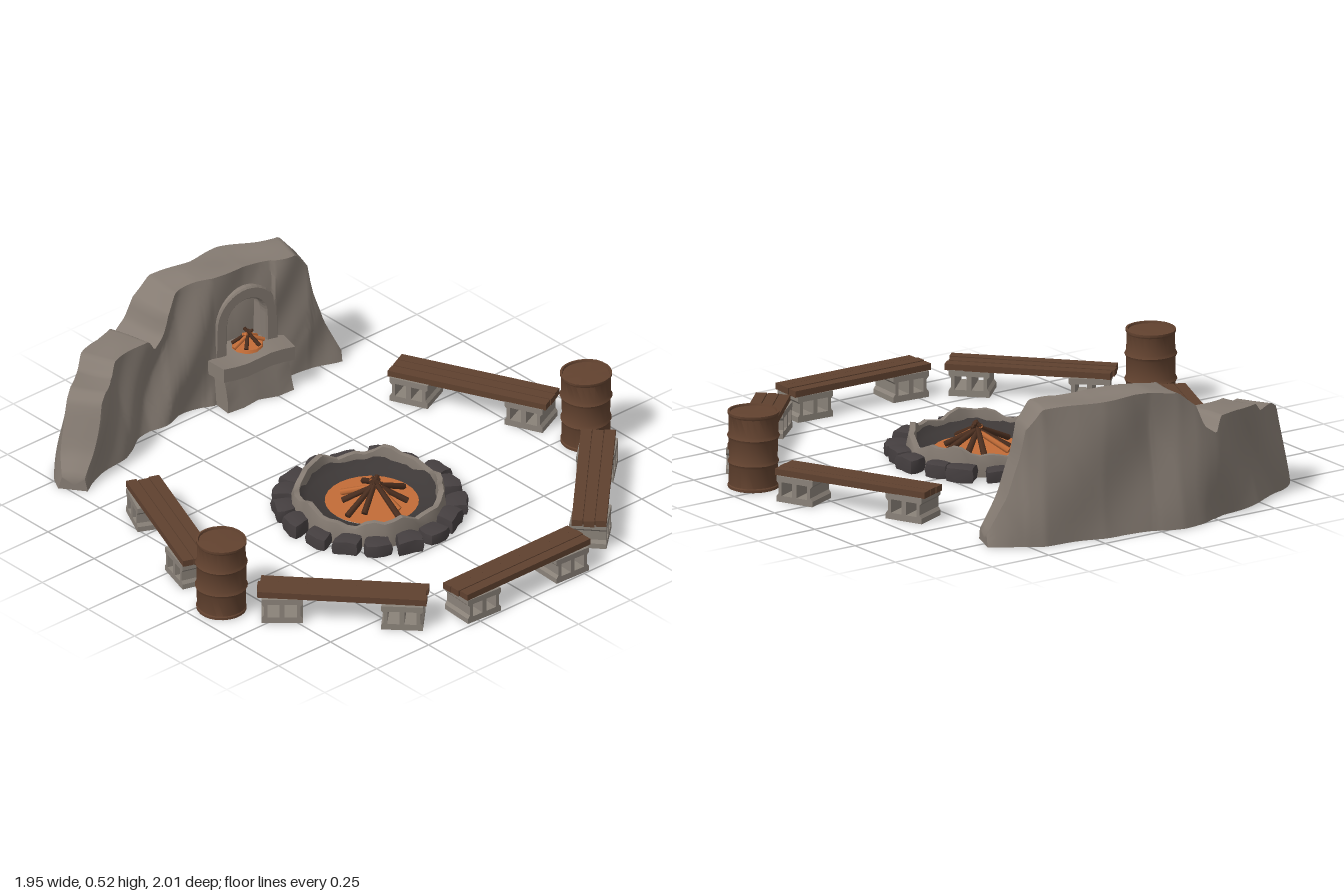
import * as THREE from 'three';
import { toCreasedNormals } from 'three/addons/utils/BufferGeometryUtils.js';

const mat = (name, color, side = THREE.FrontSide) => {
  const m = new THREE.MeshStandardMaterial({ color, side });
  m.name = name;
  return m;
};
const M = {
  rock: mat('rock grey', 0x857b72),
  block: mat('concrete grey', 0x8a8279),
  plank: mat('plank brown', 0x5f412f),
  plankDark: mat('dark plank brown', 0x4d3425),
  rust: mat('rust brown', 0x62422f),
  stone: mat('dark stone', 0x453f40),
  char: mat('char', 0x3d3837, THREE.DoubleSide),
  ember: mat('ember orange', 0xc26c37, THREE.DoubleSide),
  log: mat('burnt log', 0x4a2e1f),
};

let seed = 7;
const rnd = () => ((seed = (seed * 16807) % 2147483647) / 2147483647);
const jit = a => (rnd() * 2 - 1) * a;

function add(parent, name, geo, material, x = 0, y = 0, z = 0) {
  const m = new THREE.Mesh(geo, material);
  m.name = name;
  m.position.set(x, y, z);
  parent.add(m);
  return m;
}
function group(parent, name, x = 0, y = 0, z = 0, ry = 0) {
  const g = new THREE.Group();
  g.name = name;
  g.position.set(x, y, z);
  g.rotation.y = ry;
  parent.add(g);
  return g;
}
// Move every vertex by a rule
function warp(geo, rule) {
  const p = geo.attributes.position, v = new THREE.Vector3();
  for (let i = 0; i < p.count; i++) {
    rule(v.fromBufferAttribute(p, i));
    p.setXYZ(i, v.x, v.y, v.z);
  }
  geo.computeVertexNormals();
  return geo;
}
// Log between two points
function stick(parent, name, a, b, r, material) {
  const A = new THREE.Vector3(...a), d = new THREE.Vector3(...b).sub(A);
  const m = add(parent, name, new THREE.CylinderGeometry(r * 0.75, r, d.length(), 6), material);
  m.position.copy(A).addScaledVector(d, 0.5);
  m.quaternion.setFromUnitVectors(new THREE.Vector3(0, 1, 0), d.normalize());
}

// Rock wall stations: x, z of the centre line, half thickness, height
const WALL = [
  [-0.735, -0.655, 0.05, 0.05], [-0.69, -0.69, 0.065, 0.12], [-0.64, -0.725, 0.075, 0.3],
  [-0.6, -0.75, 0.08, 0.325], [-0.5, -0.8, 0.085, 0.33], [-0.46, -0.82, 0.085, 0.37],
  [-0.28, -0.875, 0.09, 0.372], [-0.24, -0.885, 0.1, 0.32], [-0.19, -0.89, 0.105, 0.36],
  [-0.165, -0.89, 0.105, 0.44], [-0.1, -0.89, 0.1, 0.5], [0, -0.87, 0.09, 0.512],
  [0.2, -0.855, 0.09, 0.512], [0.42, -0.81, 0.085, 0.5], [0.475, -0.79, 0.075, 0.43],
  [0.49, -0.785, 0.07, 0.33], [0.54, -0.77, 0.06, 0.18], [0.605, -0.745, 0.045, 0.04],
];
function station(x) {
  let i = 1;
  while (i < WALL.length - 1 && WALL[i][0] < x) i++;
  const a = WALL[i - 1], b = WALL[i], t = (x - a[0]) / (b[0] - a[0]);
  return a.map((v, k) => v + (b[k] - v) * t);
}
const lumps = (x, y, s) => 0.011 * Math.sin(11 * x + 9 * y + s) + 0.009 * Math.sin(23 * x - 14 * y + 2 * s)
  + 0.014 * Math.abs(Math.sin(9 * x - 5 * y + s)) - 0.009;

function wallGeometry() {
  const N = 134, F = 32, T = 5, B = 14, R = F + T + B;
  const x0 = WALL[0][0], x1 = WALL[WALL.length - 1][0], pos = [], idx = [];
  for (let i = 0; i <= N; i++) {
    const x = x0 + (x1 - x0) * i / N, [, z, hw, h] = station(x);
    const slope = (station(Math.min(x + 0.08, x1))[1] - station(Math.max(x - 0.08, x0))[1])
      / (Math.min(x + 0.08, x1) - Math.max(x - 0.08, x0));
    const len = Math.hypot(1, slope);
    for (let j = 0; j < R; j++) {
      let y, off;
      if (j < F) { // front face with the carved niche
        const t = j / (F - 1);
        y = h * t;
        off = hw * (1.12 - 0.28 * t) + lumps(x, y, 0) * (x > 0.05 && x < 0.32 ? 0.4 : 1);
        const dx = x - 0.19;
        if (y > 0.17 && Math.hypot(dx, Math.max(0, y - 0.3)) < 0.1) off -= 0.075;
      } else if (j < F + T) { // crest
        const t = (j - F + 1) / (T + 1);
        y = h + 0.006 * Math.sin(t * Math.PI) * Math.sin(17 * x + 1);
        off = hw * 0.8 * (1 - 2 * t);
      } else { // back face
        const t = 1 - (j - F - T) / (B - 1);
        y = h * t;
        off = -hw * (1.12 - 0.27 * t) - lumps(x, y, 2) * 0.8;
      }
      pos.push(x - slope / len * off, y, z + off / len);
    }
  }
  for (let i = 0; i < N; i++) for (let j = 0; j < R; j++) {
    const k = (j + 1) % R, a = i * R + j, b = a + R, c = i * R + k, d = c + R;
    idx.push(a, b, c, b, d, c);
  }
  // End caps
  [[0, false], [N, true]].forEach(([i, flip]) => {
    const [x, z] = station(i ? x1 : x0), c = pos.length / 3;
    pos.push(x, 0.02, z);
    for (let j = 0; j < R; j++) {
      const a = i * R + j, b = i * R + (j + 1) % R;
      idx.push(c, flip ? b : a, flip ? a : b);
    }
  });
  const g = new THREE.BufferGeometry();
  g.setAttribute('position', new THREE.Float32BufferAttribute(pos, 3));
  g.setIndex(idx);
  return toCreasedNormals(g, 0.75);
}

function fireplace(root) {
  const g = group(root, 'fireplace', 0.19, 0, -0.768, -0.13);
  const arch = (r, y0) => (s) => {
    s.moveTo(-r, y0); s.lineTo(r, y0); s.lineTo(r * 0.97, 0.3);
    s.absarc(0, 0.3, r * 0.97, 0, Math.PI); s.lineTo(-r, y0);
    return s;
  };
  const shape = arch(0.132, 0.15)(new THREE.Shape());
  shape.holes.push(arch(0.092, 0.17)(new THREE.Path()));
  add(g, 'archFrame', new THREE.ExtrudeGeometry(shape,
    { depth: 0.035, bevelSize: 0.006, bevelThickness: 0.006, bevelSegments: 1, curveSegments: 9 }), M.rock, 0, 0, -0.03);
  add(g, 'hearthSlab', warp(new THREE.BoxGeometry(0.33, 0.055, 0.13, 6, 1, 3), v => {
    v.x *= 1 - v.z * 0.9;
    v.y += 0.006 * Math.sin(v.x * 25);
  }), M.rock, -0.005, 0.155, 0.032);
  add(g, 'hearthBase', warp(new THREE.BoxGeometry(0.29, 0.14, 0.11, 4, 3, 2), v => {
    v.z += 0.012 * Math.sin(v.x * 30 + v.y * 20) - v.y * 0.15;
  }), M.rock, 0, 0.07, 0.03);
  add(g, 'hearthEmbers', new THREE.CylinderGeometry(0.055, 0.06, 0.012, 10), M.ember, 0.01, 0.188, 0);
  for (let i = 0; i < 7; i++) {
    const a = i * 0.9 + 0.3, c = Math.cos(a), s = Math.sin(a);
    stick(g, 'hearthLog', [0.01 + 0.065 * c, 0.195, 0.045 * s], [0.01 - 0.02 * c, 0.235 + 0.02 * rnd(), -0.015 * s],
      0.008, i % 3 ? M.log : M.ember);
  }
}

// Hollow block: a face with two holes, extruded across the bench
function blockGeometry() {
  const s = new THREE.Shape();
  [[-0.075, 0], [0.075, 0], [0.075, 0.02], [0.066, 0.032], [0.066, 0.068], [0.075, 0.078], [0.075, 0.097],
    [-0.075, 0.097], [-0.075, 0.078], [-0.066, 0.068], [-0.066, 0.032], [-0.075, 0.02]]
    .forEach(([x, y], i) => (i ? s.lineTo(x, y) : s.moveTo(x, y)));
  for (const c of [-0.031, 0.031]) {
    const h = new THREE.Path();
    h.moveTo(c - 0.022, 0.024); h.lineTo(c - 0.022, 0.075); h.lineTo(c + 0.022, 0.075); h.lineTo(c + 0.022, 0.024);
    h.closePath();
    s.holes.push(h);
  }
  return new THREE.ExtrudeGeometry(s, { depth: 0.135, bevelEnabled: false }).translate(0, 0, -0.0675);
}

function bench(root, name, [ax, az], [bx, bz], block) {
  const L = Math.hypot(bx - ax, bz - az);
  const g = group(root, name, (ax + bx) / 2, 0, (az + bz) / 2, Math.atan2(az - bz, bx - ax));
  [-1, 1].forEach(s => {
    const b = add(g, 'block', block, M.block, s * (L / 2 - 0.09), 0, jit(0.005));
    b.rotation.y = jit(0.1);
  });
  for (let i = 0; i < 3; i++) {
    add(g, 'board', new THREE.BoxGeometry(L - 0.012 * rnd(), 0.024, 0.04), M.plank,
      jit(0.004), 0.109 + jit(0.003), (i - 1) * 0.043);
  }
  add(g, 'boardCore', new THREE.BoxGeometry(L - 0.03, 0.014, 0.12), M.plankDark, 0, 0.105, 0);
}

function barrel(root, x, z, turn) {
  const g = group(root, 'barrel', x, 0, z, turn);
  const R = 0.09, pts = [[0, 0.006], [R - 0.006, 0.006], [R - 0.004, 0], [R + 0.003, 0.003], [R + 0.003, 0.012], [R, 0.016]];
  for (const y of [0.1, 0.195]) pts.push([R, y - 0.012], [R + 0.006, y], [R, y + 0.012]);
  pts.push([R, 0.272], [R + 0.004, 0.278], [R + 0.004, 0.287], [R - 0.004, 0.288], [R - 0.006, 0.28], [0, 0.28]);
  const geo = new THREE.LatheGeometry(pts.map(p => new THREE.Vector2(...p)), 24);
  warp(geo, v => { // dents
    const k = 1 - 0.035 * Math.max(0, Math.sin(2 * Math.atan2(v.z, v.x) + v.y * 22));
    v.x *= k; v.z *= k;
  });
  add(g, 'drum', toCreasedNormals(geo, 0.6), M.rust);
}

function firePit(root) {
  const g = group(root, 'firePit', -0.025, 0, 0.145);
  const lathe = (pts, n) => new THREE.LatheGeometry(pts.map(p => new THREE.Vector2(...p)), n);
  // Broken stone rim
  const rim = warp(lathe([[0.25, 0], [0.275, 0], [0.278, 0.05], [0.27, 0.1], [0.25, 0.1], [0.245, 0.05], [0.25, 0]], 48), v => {
    const a = Math.atan2(v.z, v.x);
    if (v.y > 0.08) v.y -= 0.012 + 0.014 * Math.sin(5 * a + 1) + 0.009 * Math.sin(13 * a);
    const k = 1 + 0.02 * Math.sin(7 * a) + 0.012 * Math.sin(16 * a);
    v.x *= k; v.z *= k;
  });
  add(g, 'rim', toCreasedNormals(rim, 0.6), M.rock);
  add(g, 'ashBowl', lathe([[0.252, 0.066], [0.225, 0.04], [0.15, 0.022]], 36), M.char);
  add(g, 'emberBed', new THREE.CircleGeometry(0.17, 28).rotateX(-Math.PI / 2), M.ember, 0.012, 0.029, 0);
  // Outer stones
  const n = 17;
  for (let i = 0; i < n; i++) {
    const a = i / n * Math.PI * 2 + jit(0.04), r = 0.302 + jit(0.012), w = 0.098 + jit(0.012), h = 0.052 + jit(0.009);
    const ph = rnd() * 6;
    const geo = warp(new THREE.BoxGeometry(0.09, h, w, 3, 2, 3), v => {
      const ex = v.x / 0.045, ey = v.y / (h / 2), ez = v.z / (w / 2);
      const k = 1 - 0.09 * (ex * ex + ez * ez) * (0.6 + 0.4 * ey * ey);
      v.x *= k; v.z *= k * (1 + 0.13 * ex);
      v.y *= 1 - 0.14 * (ex * ex + ez * ez) * (ey > 0 ? 1 : 0);
      v.x += 0.005 * Math.sin(60 * v.z + ph); v.z += 0.005 * Math.sin(60 * v.x + ph);
    });
    const s = add(g, 'outerStone', toCreasedNormals(geo, 0.6), M.stone, r * Math.cos(a), h / 2, r * Math.sin(a));
    s.rotation.y = -a + jit(0.12);
  }
  // Stacked logs
  for (let i = 0; i < 10; i++) {
    const a = i / 10 * Math.PI * 2 + jit(0.2), r = 0.13 + jit(0.025), c = Math.cos(a), s = Math.sin(a);
    stick(g, 'log', [0.015 + r * c, 0.036, 0.015 + r * s], [0.015 - 0.02 * c, 0.1 + 0.03 * rnd(), 0.015 - 0.02 * s],
      0.012, i % 5 === 2 ? M.ember : M.log);
  }
}

export function createModel() {
  const root = new THREE.Group();
  root.name = 'campSite';
  add(root, 'rockWall', wallGeometry(), M.rock);
  fireplace(root);
  firePit(root);
  const block = blockGeometry();
  bench(root, 'rightBackBench', [-0.63, -0.405], [-0.85, 0.155], block);
  bench(root, 'leftBackBench', [0.585, -0.41], [0.855, 0.155], block);
  bench(root, 'rightFrontBench', [-0.81, 0.42], [-0.39, 0.875], block);
  bench(root, 'leftFrontBench', [0.825, 0.43], [0.37, 0.89], block);
  bench(root, 'frontBench', [-0.308, 0.922], [0.295, 0.922], block);
  barrel(root, -0.885, 0.31, 0.4);
  barrel(root, 0.872, 0.31, 2);
  return root;
}
